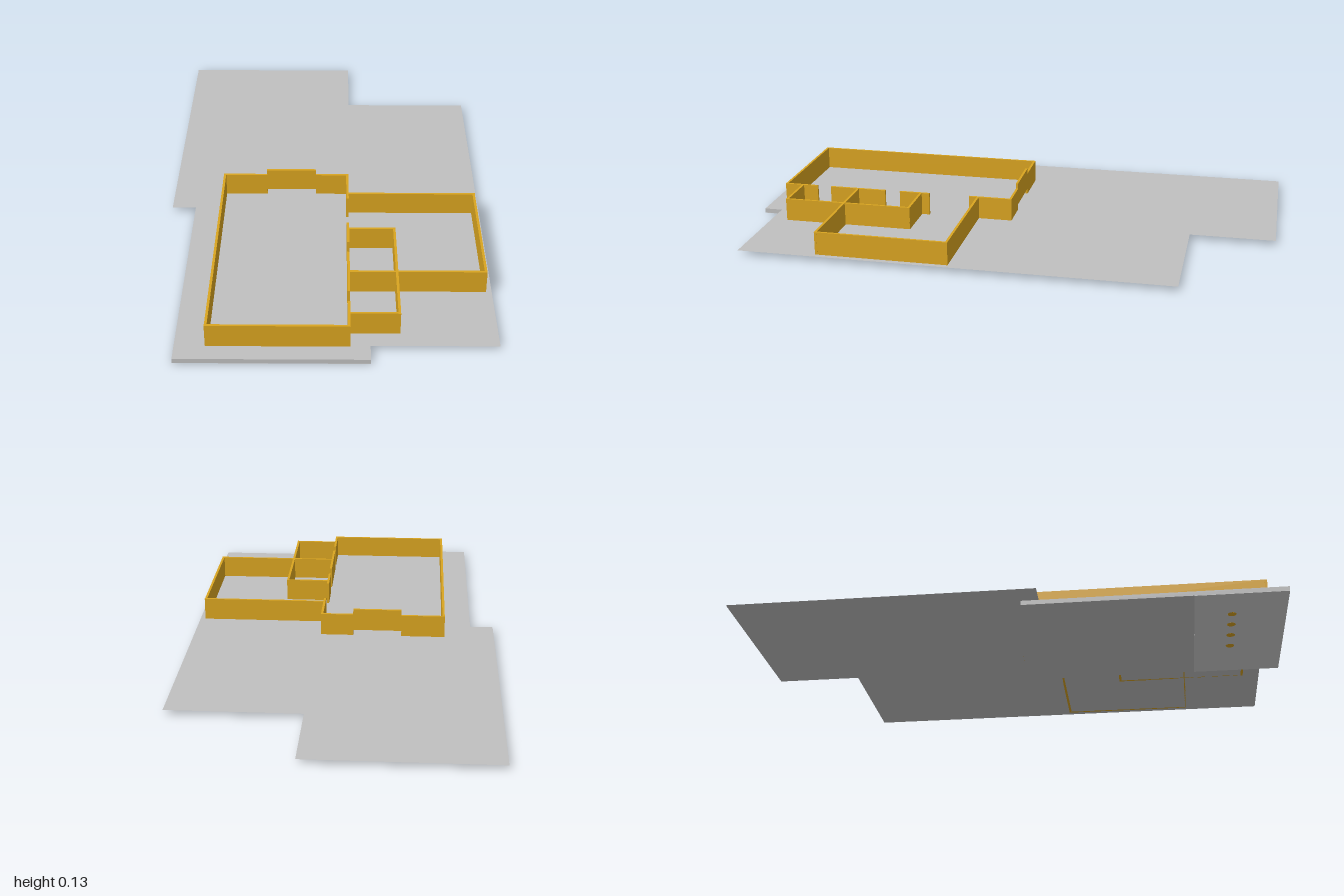
import * as THREE from 'three';

export function createModel() {
  const group = new THREE.Group();
  const floorGrey = new THREE.MeshStandardMaterial({ color: 0xc0c0c0, side: THREE.DoubleSide });
  const panelGrey = new THREE.MeshStandardMaterial({ color: 0xd0d0d0 });
  const wallGold = new THREE.MeshStandardMaterial({ color: 0xdaa520 });

  const FLOOR = 0.018, TOP = 0.105, T = 0.009;

  function box(name, mat, x0, x1, y0, y1, z0, z1) {
    const mesh = new THREE.Mesh(new THREE.BoxGeometry(x1 - x0, y1 - y0, z1 - z0), mat);
    mesh.position.set((x0 + x1) / 2, (y0 + y1) / 2, (z0 + z1) / 2);
    mesh.name = name;
    group.add(mesh);
    return mesh;
  }

  // Large paper-thin ground sheet with stepped corners
  const outline = [
    [-0.595, -1], [0.095, -1], [0.095, -0.68], [0.59, -0.68],
    [0.59, 0.93], [-0.5, 0.93], [-0.5, 0.12], [-0.595, 0.12],
  ].map(([x, z]) => new THREE.Vector2(x, -z));
  const sheet = new THREE.Mesh(new THREE.ShapeGeometry(new THREE.Shape(outline)), floorGrey);
  sheet.rotation.x = -Math.PI / 2;
  sheet.position.y = FLOOR;
  sheet.name = 'groundSheet';
  group.add(sheet);

  // Raised slab below the main hall, with a paler panel under its front end
  box('floorSlab', floorGrey, -0.505, 0.155, 0.001, FLOOR, 0.055, 1);
  box('undersidePanel', panelGrey, -0.505, 0.155, 0, 0.001, 0.67, 1);

  // Four small round studs on the underside
  [-0.076, -0.17, -0.26, -0.345].forEach((x) => {
    const stud = new THREE.Mesh(new THREE.CylinderGeometry(0.016, 0.016, 0.001, 16), wallGold);
    stud.position.set(x, 0.0003, 0.805);
    stud.name = 'undersideStud';
    group.add(stud);
  });

  // Walls running along x: [name, z, x start, x end]
  [
    ['hallBackWallRight', 0.015, -0.4, -0.23],
    ['hallBackWallLeft', 0.015, -0.04, 0.087],
    ['hallFrontWall', 0.93, -0.4, 0.087],
    ['wingBackWall', 0.145, 0.083, 0.57],
    ['wingFrontWall', 0.633, 0.083, 0.57],
    ['roomBackWall', 0.375, 0.083, 0.257],
    ['roomFrontWall', 0.862, 0.083, 0.257],
  ].forEach(([name, z, a, b]) => box(name, wallGold, a, b, FLOOR, TOP, z - T / 2, z + T / 2));

  // Back wall section lifted clear of the floor
  box('liftedWallPanel', wallGold, -0.23, -0.04, 0.04, 0.127, 0.0105, 0.0195);

  // Walls running along z: [name, x, z start, z end]
  [
    ['hallRightWall', -0.395, 0.011, 0.934],
    ['wingLeftWall', 0.565, 0.141, 0.637],
    ['roomLeftWall', 0.253, 0.371, 0.867],
    ['dividerWall', 0.083, 0.011, 0.18],
    ['dividerWall', 0.083, 0.34, 0.46],
    ['dividerWall', 0.083, 0.52, 0.745],
    ['dividerWall', 0.083, 0.80, 0.934],
  ].forEach(([name, x, a, b]) => box(name, wallGold, x - T / 2, x + T / 2, FLOOR, TOP, a, b));

  return group;
}
